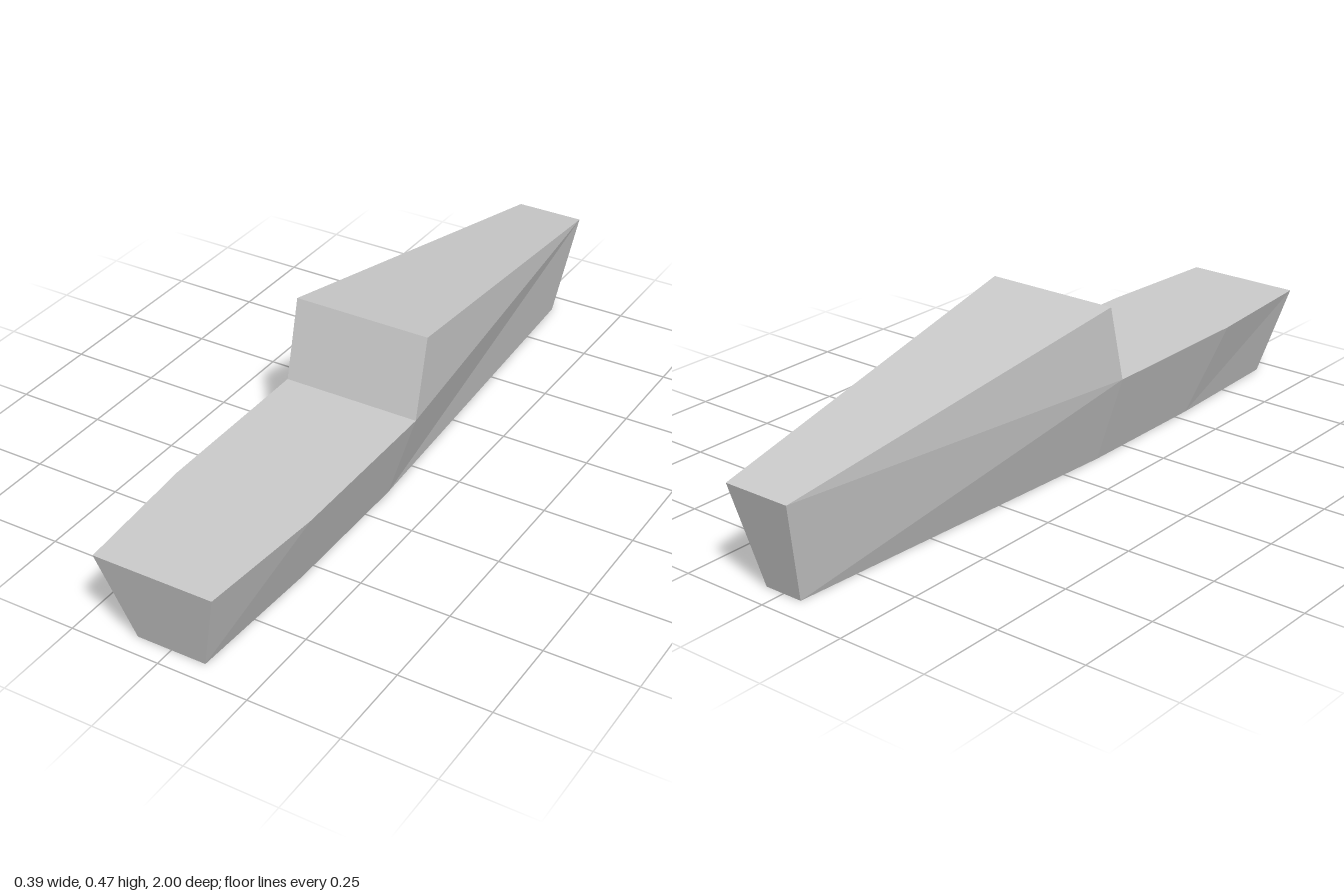
import * as THREE from 'three';

// Flat-shaded mesh from polygons whose corners run counter-clockwise seen from outside
function facetMesh(name, faces) {
  const pos = [];
  for (const f of faces) {
    for (let i = 1; i < f.length - 1; i++) pos.push(...f[0], ...f[i], ...f[i + 1]);
  }
  const geo = new THREE.BufferGeometry();
  geo.setAttribute('position', new THREE.Float32BufferAttribute(pos, 3));
  geo.computeVertexNormals();
  const mesh = new THREE.Mesh(geo, new THREE.MeshStandardMaterial({ color: 0xcccccc, flatShading: true }));
  mesh.name = name;
  return mesh;
}

// Hull stations, bow to stern: keel half width, keel z, deck half width, deck y, deck z
const STATIONS = [
  [0.097, 0.945, 0.166, 0.25, 1],
  [0.113, 0.55, 0.193, 0.25, 0.63],
  [0.113, 0.135, 0.193, 0.25, 0.135],
  [0.056, -0.93, 0.097, 0.283, -1],
];

export function createModel() {
  const group = new THREE.Group();
  group.name = 'boat';

  // Corners of each cross-section: keel -x, keel +x, deck +x, deck -x
  const rings = STATIONS.map(([kw, kz, dw, dy, dz]) => [
    [-kw, 0, kz], [kw, 0, kz], [dw, dy, dz], [-dw, dy, dz],
  ]);
  const last = rings.length - 1;

  // Hull: bow, stern, bottom, sides and the open foredeck
  const hull = [rings[0], [...rings[last]].reverse()];
  for (let s = 0; s < last; s++) {
    const a = rings[s], b = rings[s + 1];
    for (let i = 0; i < 4; i++) {
      if (i === 2 && s === last - 1) continue; // covered by the cabin
      const j = (i + 1) % 4;
      hull.push([a[i], b[i], b[j], a[j]]);
    }
  }
  group.add(facetMesh('hull', hull));

  // Cabin: wedge rising in a step and sloping down to the stern
  const [, , deckR, deckL] = rings[2];
  const [, , sternR, sternL] = rings[last];
  const roofR = [0.193, 0.467, 0.08], roofL = [-0.193, 0.467, 0.08];
  group.add(facetMesh('cabin', [
    [deckL, deckR, roofR, roofL],
    [roofL, roofR, sternR, sternL],
    [deckR, sternR, roofR],
    [deckL, roofL, sternL],
  ]));

  return group;
}
